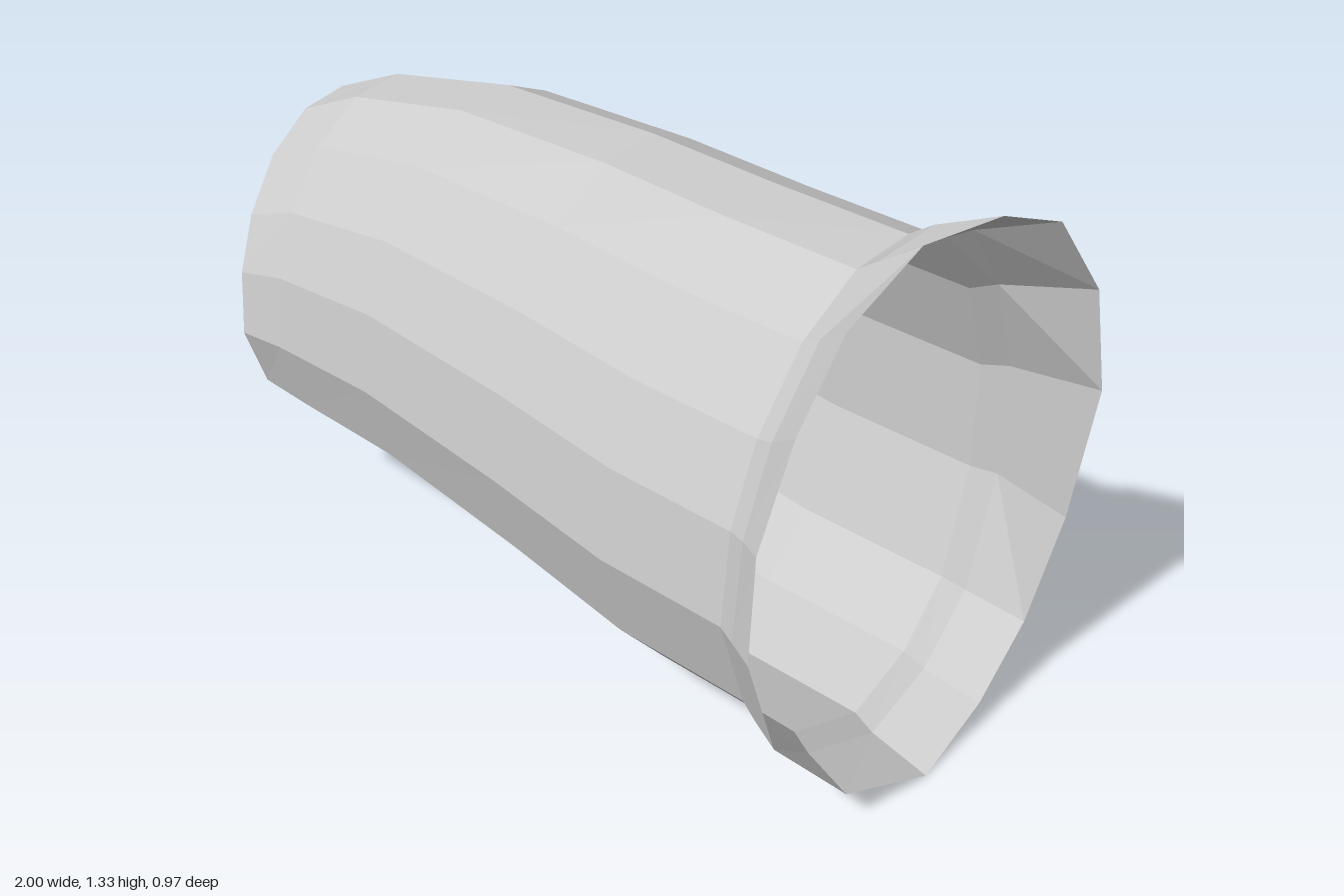
import * as THREE from 'three';

// Cross-section of the sleeve as [z, y], from the top round by the front (+z)
const section = [
  [0.04, 1.225], [0.2, 1.13], [0.325, 0.97], [0.4, 0.79], [0.43, 0.57],
  [0.365, 0.335], [0.2, 0.14], [-0.02, 0.05], [-0.21, 0.11], [-0.36, 0.24],
  [-0.46, 0.5], [-0.47, 0.77], [-0.39, 1.0], [-0.27, 1.17], [-0.13, 1.235],
].map(([z, y]) => [(z + 0.02) / 0.45, (y - 0.6425) / 0.5925]);

// Uneven outer lip of the collar as [x, y, z], in the same order
const lip = [
  [0.8, 1.325, 0.05], [0.78, 1.23, 0.26], [0.77, 1.06, 0.39], [0.75, 0.82, 0.465],
  [0.76, 0.57, 0.487], [0.79, 0.315, 0.42], [0.87, 0.105, 0.25], [0.925, 0, 0],
  [0.93, 0.07, -0.21], [0.94, 0.22, -0.36], [0.97, 0.5, -0.42], [1.0, 0.85, -0.42],
  [0.97, 1.1, -0.385], [0.92, 1.285, -0.27], [0.86, 1.33, -0.14],
];

// A ring scaled to its limits; a, b and c tilt and bow it along x
function ring(x, bottom, top, back, front, a = 0, b = 0, c = 0) {
  return section.map(([u, v]) => [
    x + a * v + b * u + c * v * v,
    (top + bottom) / 2 + v * (top - bottom) / 2,
    (front + back) / 2 + u * (front - back) / 2,
  ]);
}

// Open faceted skin through a list of rings
function skin(rings) {
  const n = section.length, pos = [];
  for (let i = 0; i < rings.length - 1; i++) {
    for (let j = 0; j < n; j++) {
      const k = (j + 1) % n;
      const a = rings[i][j], b = rings[i][k], c = rings[i + 1][k], d = rings[i + 1][j];
      pos.push(...a, ...b, ...d, ...b, ...c, ...d);
    }
  }
  const geometry = new THREE.BufferGeometry();
  geometry.setAttribute('position', new THREE.Float32BufferAttribute(pos, 3));
  geometry.computeVertexNormals();
  return geometry;
}

export function createModel() {
  const grey = new THREE.MeshStandardMaterial({ color: 0xcccccc, side: THREE.DoubleSide, flatShading: true });
  grey.name = 'light grey';
  const group = new THREE.Group();
  group.name = 'flaredSleeve';

  const sleeveEnd = ring(0.672, 0.05, 1.228, -0.467, 0.427, -0.03, -0.027, 0.018);
  const parts = {
    // Long tapering tube, open at the narrow end
    sleeve: [
      ring(-0.945, 0.225, 1.07, -0.42, 0.335, -0.02, 0.045, -0.015),
      ring(-0.78, 0.185, 1.155, -0.435, 0.338, -0.01, 0.02),
      ring(-0.44, 0.16, 1.22, -0.475, 0.355),
      ring(0, 0.1, 1.235, -0.48, 0.39),
      ring(0.33, 0.05, 1.23, -0.475, 0.42),
      sleeveEnd,
    ],
    // Flared collar with a slanted lip
    collar: [
      sleeveEnd,
      ring(0.725, 0.02, 1.265, -0.487, 0.45, -0.03, -0.035, 0.015),
      lip,
    ],
  };
  for (const [name, rings] of Object.entries(parts)) {
    const mesh = new THREE.Mesh(skin(rings), grey);
    mesh.name = name;
    group.add(mesh);
  }
  return group;
}
